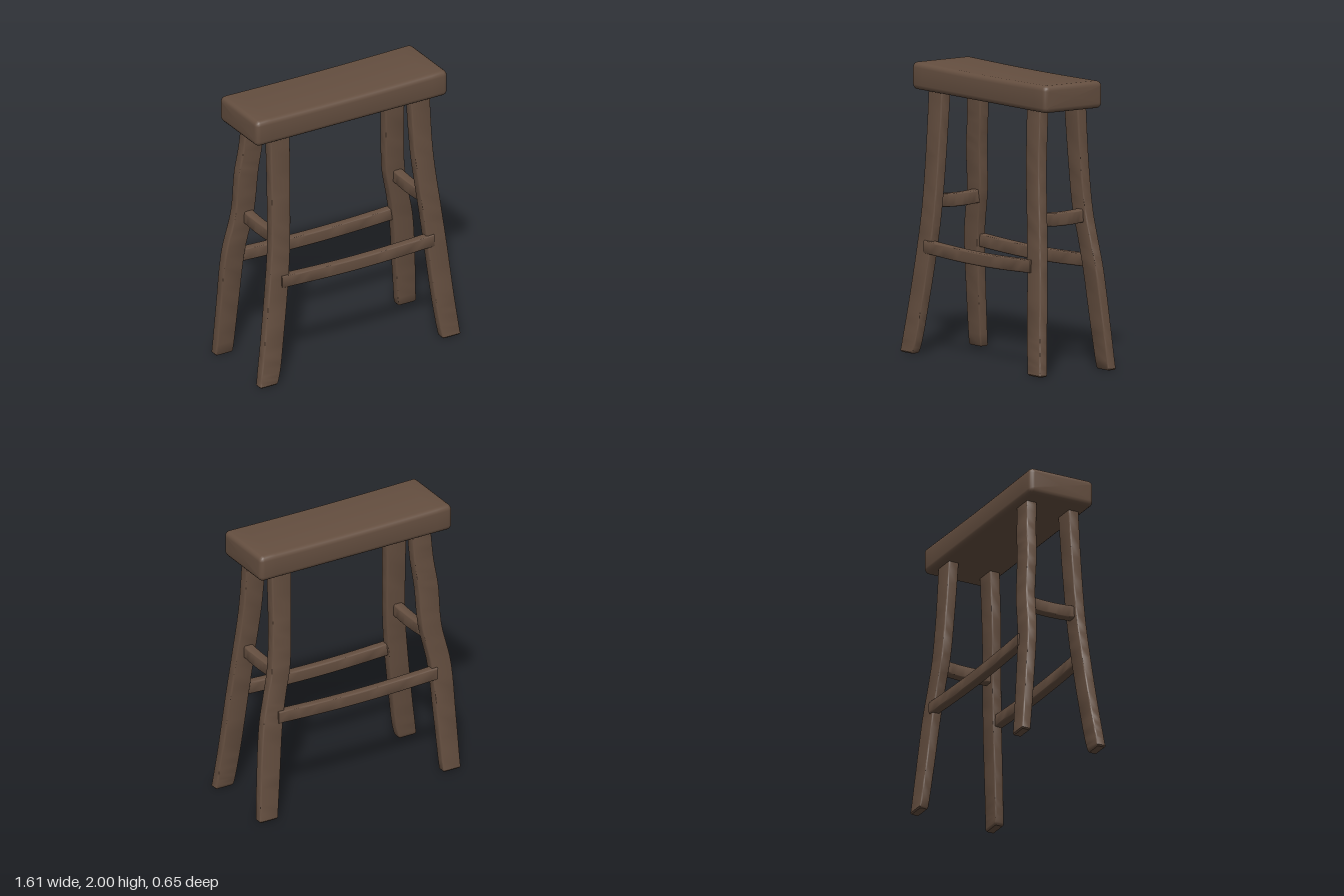
import * as THREE from 'three';
import { toCreasedNormals } from 'three/addons/utils/BufferGeometryUtils.js';

const wood = new THREE.MeshStandardMaterial({ color: 0x654f40 });
wood.name = 'dark brown wood';

// Lofts rounded rectangles along an axis (0 = x, 1 = y, 2 = z).
// Each station: { c: centre [x, y, z], u, v: half sizes along the next two axes, r: corner radius }
function loft(name, axis, stations) {
  const U = (axis + 1) % 3, V = (axis + 2) % 3, steps = 4;
  const pos = [], index = [];
  for (const { c, u, v, r } of stations) {
    for (let k = 0; k < 4; k++) {
      const su = k === 0 || k === 3 ? 1 : -1, sv = k < 2 ? 1 : -1;
      for (let i = 0; i <= steps; i++) {
        const a = (k + i / steps) * Math.PI / 2;
        const p = [...c];
        p[U] += su * (u - r) + r * Math.cos(a);
        p[V] += sv * (v - r) + r * Math.sin(a);
        pos.push(...p);
      }
    }
  }
  const n = 4 * (steps + 1), last = stations.length - 1;
  for (let i = 0; i < last; i++) {
    for (let j = 0; j < n; j++) {
      const a = i * n + j, b = i * n + (j + 1) % n;
      index.push(a, b, a + n, b, b + n, a + n);
    }
  }
  // End caps
  const start = pos.length / 3;
  pos.push(...stations[0].c, ...stations[last].c);
  for (let j = 0; j < n; j++) {
    const k = (j + 1) % n;
    index.push(start, k, j, start + 1, last * n + j, last * n + k);
  }
  const geo = new THREE.BufferGeometry();
  geo.setAttribute('position', new THREE.Float32BufferAttribute(pos, 3));
  geo.setIndex(index);
  const mesh = new THREE.Mesh(toCreasedNormals(geo, 0.7), wood);
  mesh.name = name;
  return mesh;
}

// Curved leg: rows of [height, inner x, outer x]; splayed in z
function leg(name, side, end, rows) {
  const curve = new THREE.CatmullRomCurve3(rows.map((r) => new THREE.Vector3(...r)), false, 'centripetal');
  const stations = curve.getPoints(28).map((p) => ({
    c: [side * (p.y + p.z) / 2, p.x, end * (0.293 - 0.094 * p.x + 0.0118 * p.x * p.x)],
    u: 0.034 + 0.003 * p.x, v: (p.z - p.y) / 2, r: 0.012,
  }));
  // Softened foot
  const foot = stations[0];
  stations.unshift({ ...foot, u: foot.u - 0.008, v: foot.v - 0.008, r: 0.008 });
  foot.c = [foot.c[0], 0.01, foot.c[2]];
  return loft(name, 1, stations);
}

// Rail that sags gently in the middle
function rail(name, axis, from, to, place, y, u, v, sag) {
  const stations = [];
  for (let i = 0; i <= 16; i++) {
    const t = i / 16, c = [place, y - sag * Math.sin(Math.PI * t), place];
    c[axis] = from + (to - from) * t;
    stations.push({ c, u, v, r: 0.012 });
  }
  return loft(name, axis, stations);
}

// Thick slab seat with rounded ends and a slight dip
function seat() {
  const x0 = -0.785, x1 = 0.75, r = 0.035, stations = [];
  const add = (x, inset) => {
    const dip = 0.008 * Math.cos((x / 0.8) * Math.PI / 2);
    stations.push({
      c: [x, 1.904 - dip / 2, -0.004],
      u: 0.095 - dip / 2 - inset, v: 0.248 - inset, r: r - inset * 0.8,
    });
  };
  const cap = [0, 1, 2, 3, 4].map((i) => (i / 4) * Math.PI / 2);
  for (const a of cap) add(x0 + r * (1 - Math.sin(a)), r * (1 - Math.cos(a)));
  stations.reverse();
  stations.length = 0;
  for (const a of cap) add(x0 + r * (1 - Math.cos(a)), r * (1 - Math.sin(a)));
  for (let i = 1; i < 16; i++) add(x0 + r + (x1 - x0 - 2 * r) * i / 16, 0);
  for (const a of [...cap].reverse()) add(x1 - r * (1 - Math.cos(a)), r * (1 - Math.sin(a)));
  return loft('seat', 0, stations);
}

export function createModel() {
  const group = new THREE.Group();
  group.name = 'stool';
  group.add(seat());

  // Four hand-shaped legs, each bowed a little differently
  group.add(
    leg('frontLeftLeg', 1, 1, [
      [0, 0.655, 0.8], [0.1, 0.638, 0.788], [0.3, 0.612, 0.765], [0.7, 0.572, 0.725],
      [1, 0.54, 0.69], [1.4, 0.495, 0.645], [1.84, 0.475, 0.63]]),
    leg('backLeftLeg', 1, -1, [
      [0, 0.655, 0.8], [0.3, 0.622, 0.778], [0.7, 0.58, 0.738], [0.9, 0.545, 0.695],
      [1.1, 0.503, 0.655], [1.4, 0.485, 0.635], [1.84, 0.47, 0.63]]),
    leg('frontRightLeg', -1, 1, [
      [0, 0.663, 0.805], [0.1, 0.635, 0.79], [0.3, 0.602, 0.757], [0.7, 0.545, 0.7],
      [1, 0.516, 0.666], [1.4, 0.5, 0.652], [1.84, 0.49, 0.648]]),
    leg('backRightLeg', -1, -1, [
      [0, 0.665, 0.805], [0.4, 0.64, 0.79], [0.8, 0.61, 0.768], [1.1, 0.55, 0.705],
      [1.4, 0.53, 0.69], [1.6, 0.505, 0.66], [1.84, 0.49, 0.642]]),
  );

  // Long rails low at front and back, short rails higher at the sides
  group.add(
    rail('frontRail', 0, -0.6, 0.62, 0.243, 0.742, 0.045, 0.032, 0.018),
    rail('backRail', 0, -0.65, 0.62, -0.246, 0.744, 0.045, 0.032, 0.018),
    rail('leftRail', 2, -0.2, 0.2, 0.595, 1.06, 0.035, 0.046, 0.012),
    rail('rightRail', 2, -0.2, 0.2, -0.6, 1.06, 0.035, 0.046, 0.012),
  );
  return group;
}
